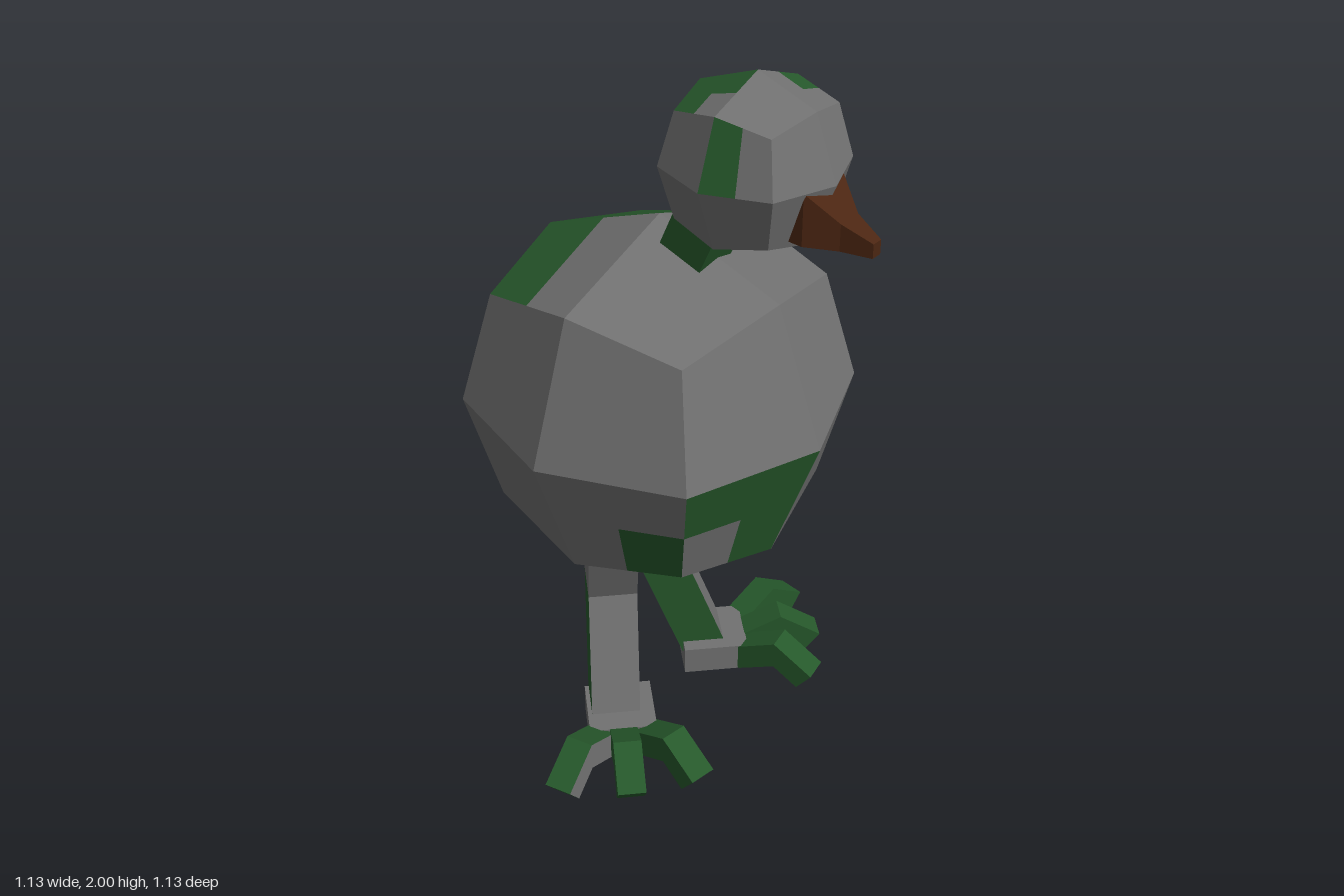
import * as THREE from 'three';

const COLORS = { '.': 0x717171, g: 0x26582b, b: 0x4b2612 };
const V = (x, y, z) => new THREE.Vector3(x, y, z);

// Normal of a quad from its diagonals
const quadNormal = (a, b, c, d) => c.clone().sub(a).cross(d.clone().sub(b)).normalize();

// Collects quads by paint key and turns each key into one faceted mesh.
function makePainter(name) {
  const buckets = {};
  const quad = (key, a, b, c, d, n = quadNormal(a, b, c, d)) => {
    const out = (buckets[key] ??= { position: [], normal: [] });
    for (const p of [a, b, c, a, c, d]) {
      out.position.push(p.x, p.y, p.z);
      out.normal.push(n.x, n.y, n.z);
    }
  };
  const build = () => {
    const group = new THREE.Group();
    group.name = name;
    for (const key in buckets) {
      const geo = new THREE.BufferGeometry();
      for (const attr of ['position', 'normal']) {
        geo.setAttribute(attr, new THREE.Float32BufferAttribute(buckets[key][attr], 3));
      }
      const mesh = new THREE.Mesh(geo, new THREE.MeshStandardMaterial({ color: COLORS[key] }));
      mesh.name = key === 'g' ? name + 'GreenPatches' : name + 'Surface';
      group.add(mesh);
    }
    return group;
  };
  return { quad, build };
}

// Four-sided loft; paint[segment][side] picks the colour, capKey the ends.
function loft(name, rings, paint, capKey) {
  const p = makePainter(name);
  for (let s = 0; s < rings.length - 1; s++) {
    const a = rings[s], b = rings[s + 1];
    for (let k = 0; k < 4; k++) {
      const n = (k + 1) % 4;
      p.quad(paint[s][k], a[k], a[n], b[n], b[k]);
    }
  }
  const first = rings[0], last = rings[rings.length - 1];
  p.quad(capKey, first[0], first[3], first[2], first[1]);
  p.quad(capKey, last[0], last[1], last[2], last[3]);
  return p.build();
}

// Rounded cube: each side is 2 x 2 bulged facets, each split 2 x 2 for paint.
const SIDES = {
  front: [V(0, 0, 1), V(1, 0, 0), V(0, 1, 0)],
  back: [V(0, 0, -1), V(-1, 0, 0), V(0, 1, 0)],
  left: [V(1, 0, 0), V(0, 0, -1), V(0, 1, 0)],
  right: [V(-1, 0, 0), V(0, 0, 1), V(0, 1, 0)],
  top: [V(0, 1, 0), V(1, 0, 0), V(0, 0, -1)],
  bottom: [V(0, -1, 0), V(1, 0, 0), V(0, 0, 1)],
};
const BULGE = [1, 0.73, 0.605]; // face centre, edge middle, corner

function roundedCube(name, radius, paint) {
  const p = makePainter(name);
  for (const side in SIDES) {
    const [n, u, v] = SIDES[side];
    const node = (i, j) => V(0, 0, 0).add(n).addScaledVector(u, i).addScaledVector(v, j)
      .multiplyScalar(radius * BULGE[Math.abs(i) + Math.abs(j)]);
    // Point on the 4 x 4 grid, interpolated inside its facet
    const at = (c, r) => {
      const i = c / 2 - 1, j = 1 - r / 2;
      const i0 = Math.floor(i), i1 = Math.ceil(i), j0 = Math.floor(j), j1 = Math.ceil(j);
      return node(i0, j0).add(node(i1, j0)).add(node(i0, j1)).add(node(i1, j1)).multiplyScalar(0.25);
    };
    for (let r = 0; r < 4; r++) {
      for (let c = 0; c < 4; c++) {
        const key = paint[side]?.[r][c] ?? '.';
        // All four cells of a facet share its normal
        const C = c - c % 2, R = r - r % 2;
        const normal = quadNormal(at(C, R + 2), at(C + 2, R + 2), at(C + 2, R), at(C, R));
        p.quad(key, at(c, r + 1), at(c + 1, r + 1), at(c + 1, r), at(c, r), normal);
      }
    }
  }
  return p.build();
}

// Leg: diamond sections from ankle over the knee to the hip.
function makeLeg(name, s, paint) {
  const d = 0.097;
  const rings = [[0.21, 0.05, -0.075], [0.108, 0.415, -0.163], [0.168, 0.65, -0.103]].map(([x, y, z]) =>
    [V(s * x + d, y, z), V(s * x, y, z - d), V(s * x - d, y, z), V(s * x, y, z + d)]);
  return loft(name, rings, paint, 'g');
}

// Toe: arched bar with a mitred knuckle, pointing along +z.
function makeToe(name, paint) {
  const w = 0.039;
  const rings = [[-0.02, 0.04, -0.02, 0.032], [0.113, 0.102, 0, 0.042], [0.212, 0.038, 0.0225, 0.028]]
    .map(([z, y, nz, ny]) => [V(-w, y - ny, z - nz), V(w, y - ny, z - nz), V(w, y + ny, z + nz), V(-w, y + ny, z + nz)]);
  return loft(name, rings, [paint, paint], 'g');
}

function makeFoot(name, s) {
  const foot = new THREE.Group();
  foot.name = name;
  const sole = new THREE.Mesh(new THREE.BoxGeometry(0.19, 0.085, 0.19),
    new THREE.MeshStandardMaterial({ color: COLORS['.'], flatShading: true }));
  sole.name = 'footBlock';
  sole.position.y = 0.05;
  foot.add(sole);
  for (const t of [-1, 0, 1]) {
    const toe = makeToe(['innerToe', 'middleToe', 'outerToe'][t * s + 1], s > 0 ? 'gggg' : '..gg');
    toe.position.set(t * 0.065, 0, 0.09);
    toe.rotation.y = t * THREE.MathUtils.degToRad(35);
    foot.add(toe);
  }
  foot.position.set(s * 0.219, -0.005, -0.044);
  foot.rotation.y = s * Math.PI / 4;
  return foot;
}

export function createModel() {
  const model = new THREE.Group();
  model.name = 'bird';

  const body = roundedCube('body', 0.506, {
    front: ['....', '....', 'gg..', '.g..'],
    left: ['...g', 'g...', 'gg..', 'gg..'],
    back: ['ggg.', '....', '....', '....'],
    right: ['....', '....', '....', '...g'],
    top: ['gggg', '..gg', '....', '....'],
  });
  body.position.set(0, 1.05, -0.062);
  model.add(body);

  const head = roundedCube('head', 0.225, {
    top: ['gggg', '.ggg', '...g', '....'],
    left: ['.ggg', '.ggg', '....', '....'],
    right: ['..g.', '..g.', '....', '....'],
  });
  head.position.set(0, 1.775, 0.225);
  model.add(head);

  // Neck leaning forward into the head
  const neck = new THREE.Mesh(new THREE.BoxGeometry(0.13, 0.2, 0.13),
    new THREE.MeshStandardMaterial({ color: COLORS.g, flatShading: true }));
  neck.name = 'neck';
  neck.position.set(0, 1.578, 0.088);
  neck.rotation.x = 0.42;
  model.add(neck);

  // Beak tapering to a blunt tip
  const beakRings = [[0.37, 0.08, 1.645, 1.778], [0.415, 0.08, 1.642, 1.775],
    [0.49, 0.036, 1.636, 1.705], [0.567, 0.016, 1.633, 1.67]]
    .map(([z, w, lo, hi]) => [V(-w, lo, z), V(w, lo, z), V(w, hi, z), V(-w, hi, z)]);
  model.add(loft('beak', beakRings, ['bbbb', 'bbbb', 'bbbb'], 'b'));

  model.add(makeLeg('leftLeg', 1, ['.gg.', 'gg..']), makeLeg('rightLeg', -1, ['.g.g', 'g..g']));
  model.add(makeFoot('leftFoot', 1), makeFoot('rightFoot', -1));
  return model;
}
